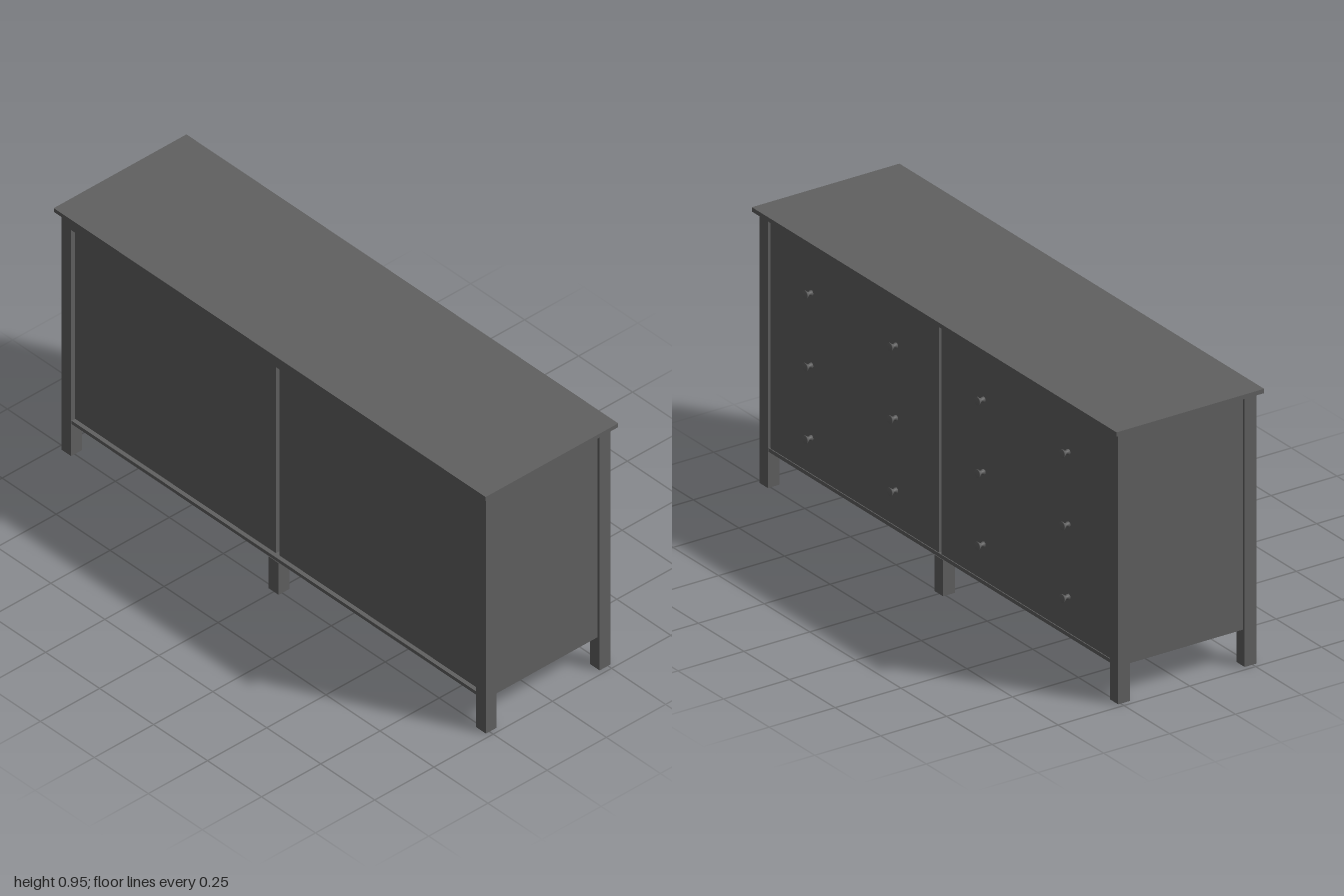
import * as THREE from 'three';

export function createModel() {
  const model = new THREE.Group();
  model.name = 'dresser';
  const material = new THREE.MeshStandardMaterial({ color: 0x606060, side: THREE.DoubleSide });

  // Box given by its limits on each axis
  function box(name, [x0, x1], [y0, y1], [z0, z1]) {
    const mesh = new THREE.Mesh(new THREE.BoxGeometry(x1 - x0, y1 - y0, z1 - z0), material);
    mesh.position.set((x0 + x1) / 2, (y0 + y1) / 2, (z0 + z1) / 2);
    mesh.name = name;
    model.add(mesh);
    return mesh;
  }
  // The same box on both sides of x = 0
  function pair(name, [x0, x1], y, z) {
    return [box(name + 'Left', [x0, x1], y, z), box(name + 'Right', [-x1, -x0], y, z)];
  }
  // Hollow leg: leave out the downward face, the fourth of the six
  function openBottom({ geometry }) {
    geometry.setIndex([...geometry.index.array].filter((_, i) => i < 18 || i >= 24));
  }

  const bottom = 0.125, top = 0.935;
  const outer = 0.983, inner = 0.938;
  const knobSide = [-0.26, -0.215], panelSide = [0.22, 0.265];

  box('tabletop', [-1, 1], [top, 0.95], [-0.278, 0.282]);

  // Corner posts and short middle legs
  for (const [side, z] of [['knobSide', knobSide], ['panelSide', panelSide]]) {
    pair(side + 'Post', [inner, outer], [0, top], z).forEach(openBottom);
    openBottom(box(side + 'MiddleLeg', [-0.023, 0.023], [0, bottom], z));
  }

  // Recessed end panels and the floor
  pair('endPanel', [0.955, 0.973], [bottom, top], [-0.215, 0.22]);
  box('floor', [-0.955, 0.955], [bottom, 0.138], [-0.258, 0.263]);

  // Top rail and two recessed panels on the +z side, with a groove between them
  box('topRail', [-inner, inner], [0.89, top], panelSide);
  box('panelDivider', [-0.008, 0.008], [0.138, 0.89], [0.215, 0.23]);
  pair('panel', [0.008, inner], [0.138, 0.89], [0.22, 0.248]);

  // Drawer fronts on the -z side, set off by grooves from the divider and the posts
  box('drawerBacking', [-inner, inner], [0.138, top], [-0.236, -0.22]);
  pair('drawerFront', [0.008, 0.93], [0.138, top], [-0.255, -0.236]);

  // Flared knobs, turned about their own axis
  const profile = [[0, 0], [0.009, 0], [0.009, 0.006], [0.006, 0.01], [0.007, 0.015],
    [0.014, 0.023], [0.014, 0.027], [0, 0.027]].map(([r, h]) => new THREE.Vector2(r, h));
  const knobGeometry = new THREE.LatheGeometry(profile, 20);
  for (const x of [-0.705, -0.24, 0.24, 0.705]) {
    for (const y of [0.263, 0.513, 0.763]) {
      const knob = new THREE.Mesh(knobGeometry, material);
      knob.name = 'knob';
      knob.rotation.x = -Math.PI / 2;
      knob.position.set(x, y, -0.255);
      model.add(knob);
    }
  }
  return model;
}
